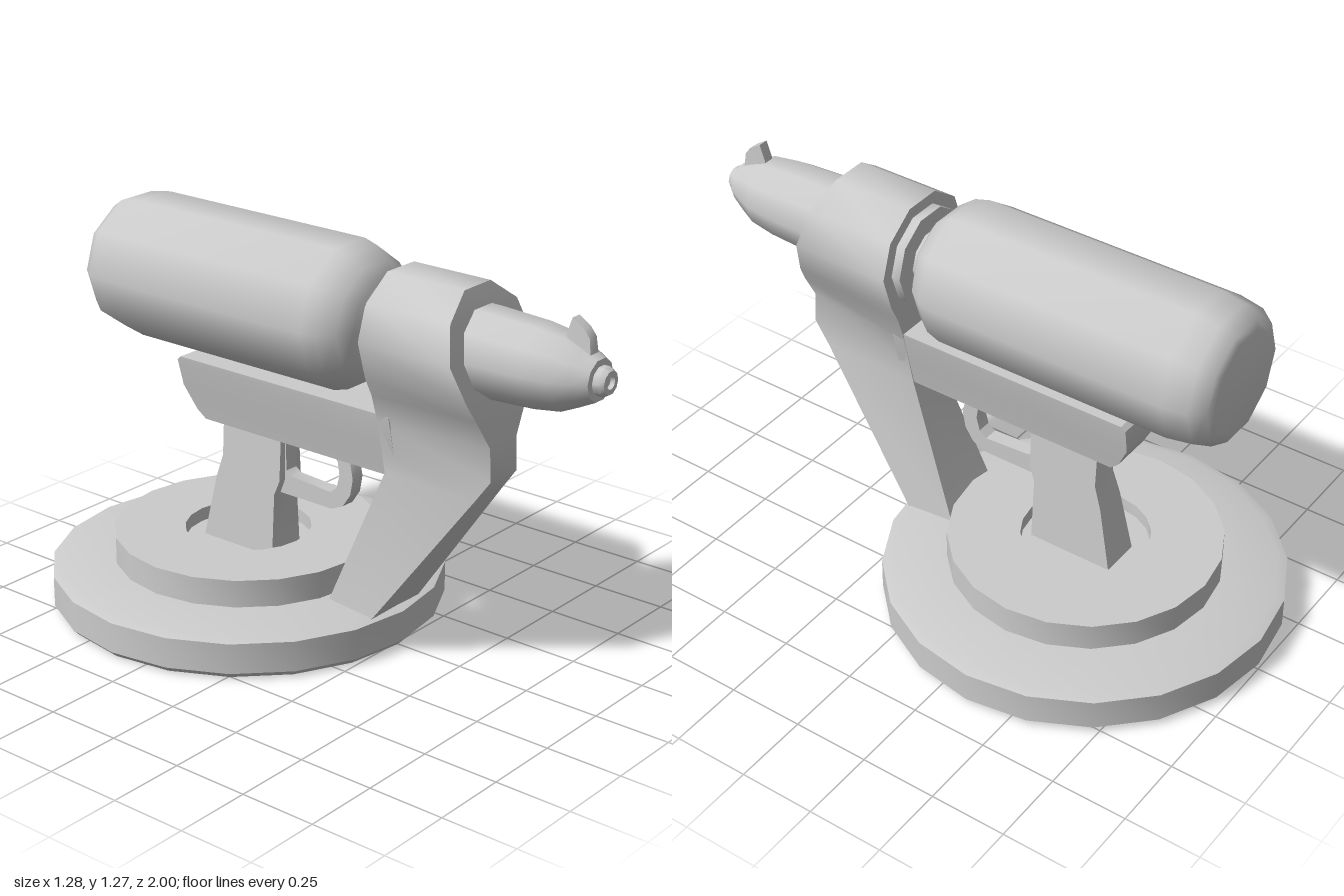
import * as THREE from 'three';
import { toCreasedNormals } from 'three/addons/utils/BufferGeometryUtils.js';

const AXIS_Y = 1.045; // height of the barrel and tank axis

export function createModel() {
  const model = new THREE.Group();
  const material = new THREE.MeshStandardMaterial({ color: 0xcccccc });

  function add(name, geometry, crease = 0.75) {
    const mesh = new THREE.Mesh(toCreasedNormals(geometry, crease), material);
    mesh.name = name;
    model.add(mesh);
    return mesh;
  }

  // Ten-sided turned part along z; profile is [radius, z] from back to front
  function turned(name, profile) {
    const points = profile.map(([r, z]) => new THREE.Vector2(r, z));
    const geometry = new THREE.LatheGeometry(points, 10, Math.PI / 2);
    geometry.rotateX(Math.PI / 2).translate(0, AXIS_Y, 0);
    add(name, geometry);
  }

  // Four-cornered sections stacked downward: [y, zFront, zBack, halfFront, halfBack]
  function stacked(name, levels) {
    const positions = [], index = [];
    for (const [y, zf, zb, wf, wb] of levels) {
      positions.push(-wf, y, zf, wf, y, zf, wb, y, zb, -wb, y, zb);
    }
    for (let i = 0; i < levels.length - 1; i++) {
      for (let j = 0; j < 4; j++) {
        const a = i * 4 + j, b = i * 4 + (j + 1) % 4;
        index.push(a, a + 4, b + 4, a, b + 4, b);
      }
    }
    const e = (levels.length - 1) * 4;
    index.push(0, 1, 2, 0, 2, 3, e, e + 2, e + 1, e, e + 3, e + 2);
    const geometry = new THREE.BufferGeometry();
    geometry.setAttribute('position', new THREE.Float32BufferAttribute(positions, 3));
    geometry.setIndex(index);
    add(name, geometry, 0.7);
  }

  // Side outline [z, y] extruded across x; halfWidth(y) gives the thickness
  function plate(name, outline, halfWidth, hole) {
    const toPoints = (list) => list.map(([z, y]) => new THREE.Vector2(-z, y));
    const shape = new THREE.Shape(toPoints(outline));
    if (hole) shape.holes.push(new THREE.Path(toPoints(hole)));
    const geometry = new THREE.ExtrudeGeometry(shape, { depth: 2, bevelEnabled: false });
    geometry.translate(0, 0, -1).rotateY(Math.PI / 2);
    const p = geometry.attributes.position;
    for (let i = 0; i < p.count; i++) p.setX(i, p.getX(i) * halfWidth(p.getY(i)));
    add(name, geometry, 0.6);
  }

  // Round stepped base with a shallow recess on top
  const baseProfile = [
    [0, 0], [0.62, 0], [0.64, 0.02], [0.64, 0.12], [0.61, 0.13], [0.435, 0.145],
    [0.435, 0.235], [0.205, 0.235], [0.205, 0.19], [0, 0.19],
  ].map(([r, y]) => new THREE.Vector2(r, y));
  add('base', new THREE.LatheGeometry(baseProfile, 20), 0.6).position.z = -0.36;

  // Housing that narrows into the slanted front strut
  stacked('housingAndStrut', [
    [1.235, 0.535, 0.255, 0.063, 0.063],
    [1.163, 0.56, 0.255, 0.162, 0.162],
    [1.05, 0.59, 0.255, 0.2, 0.2],
    [0.93, 0.618, 0.255, 0.155, 0.165],
    [0.87, 0.63, 0.255, 0.122, 0.135],
    [0.775, 0.64, 0.255, 0.065, 0.105],
    [0.67, 0.645, 0.255, 0.065, 0.083],
    [0.6, 0.594, 0.255, 0.068, 0.068],
    [0.125, 0.247, 0.07, 0.118, 0.118],
  ]);

  // Rail running back under the tank
  stacked('rail', [
    [0.803, 0.3, -0.54, 0.11, 0.11],
    [0.79, 0.3, -0.555, 0.108, 0.108],
    [0.7, 0.3, -0.55, 0.088, 0.088],
    [0.62, 0.3, -0.51, 0.069, 0.069],
    [0.592, 0.3, -0.48, 0.063, 0.063],
  ]);

  // Handle, wider towards the base
  plate('grip', [
    [-0.18, 0.61], [-0.42, 0.61], [-0.42, 0.48], [-0.445, 0.4], [-0.49, 0.185],
    [-0.2, 0.185], [-0.2, 0.4], [-0.18, 0.45],
  ], (y) => 0.068 - 0.06 * (y - 0.185));

  // Loop in front of the handle
  plate('triggerGuard', [
    [-0.21, 0.61], [-0.21, 0.4], [0.01, 0.4], [0.055, 0.42], [0.085, 0.465],
    [0.095, 0.52], [0.085, 0.57], [0.05, 0.61],
  ], () => 0.024, [
    [-0.175, 0.59], [0.01, 0.59], [0.035, 0.565], [0.042, 0.52], [0.03, 0.475],
    [0.005, 0.455], [-0.155, 0.465], [-0.175, 0.48],
  ]);

  // Tank, its neck and collar
  turned('tank', [
    [0, -0.875], [0.165, -0.875], [0.19, -0.865], [0.222, -0.82], [0.235, -0.74],
    [0.235, 0.06], [0.222, 0.11], [0.185, 0.16], [0.14, 0.19], [0, 0.195],
  ]);
  turned('tankNeck', [[0, 0.17], [0.095, 0.17], [0.095, 0.24], [0, 0.24]]);
  turned('collar', [[0, 0.225], [0.16, 0.225], [0.16, 0.26], [0, 0.26]]);

  // Tapered barrel and hollow tip
  turned('barrel', [
    [0, 0.45], [0.138, 0.45], [0.136, 0.6], [0.128, 0.77], [0.115, 0.86],
    [0.09, 0.915], [0.065, 0.965], [0, 0.968],
  ]);
  turned('nozzleTip', [
    [0, 0.95], [0.045, 0.95], [0.045, 0.985], [0.036, 1], [0.02, 1], [0.02, 0.985], [0, 0.985],
  ]);

  // Small sight fin on the barrel
  plate('sight', [
    [0.945, 1.09], [0.935, 1.165], [0.915, 1.19], [0.875, 1.215], [0.858, 1.165], [0.855, 1.09],
  ], (y) => (y > 1.14 ? 0.017 : 0.022));

  return model;
}
